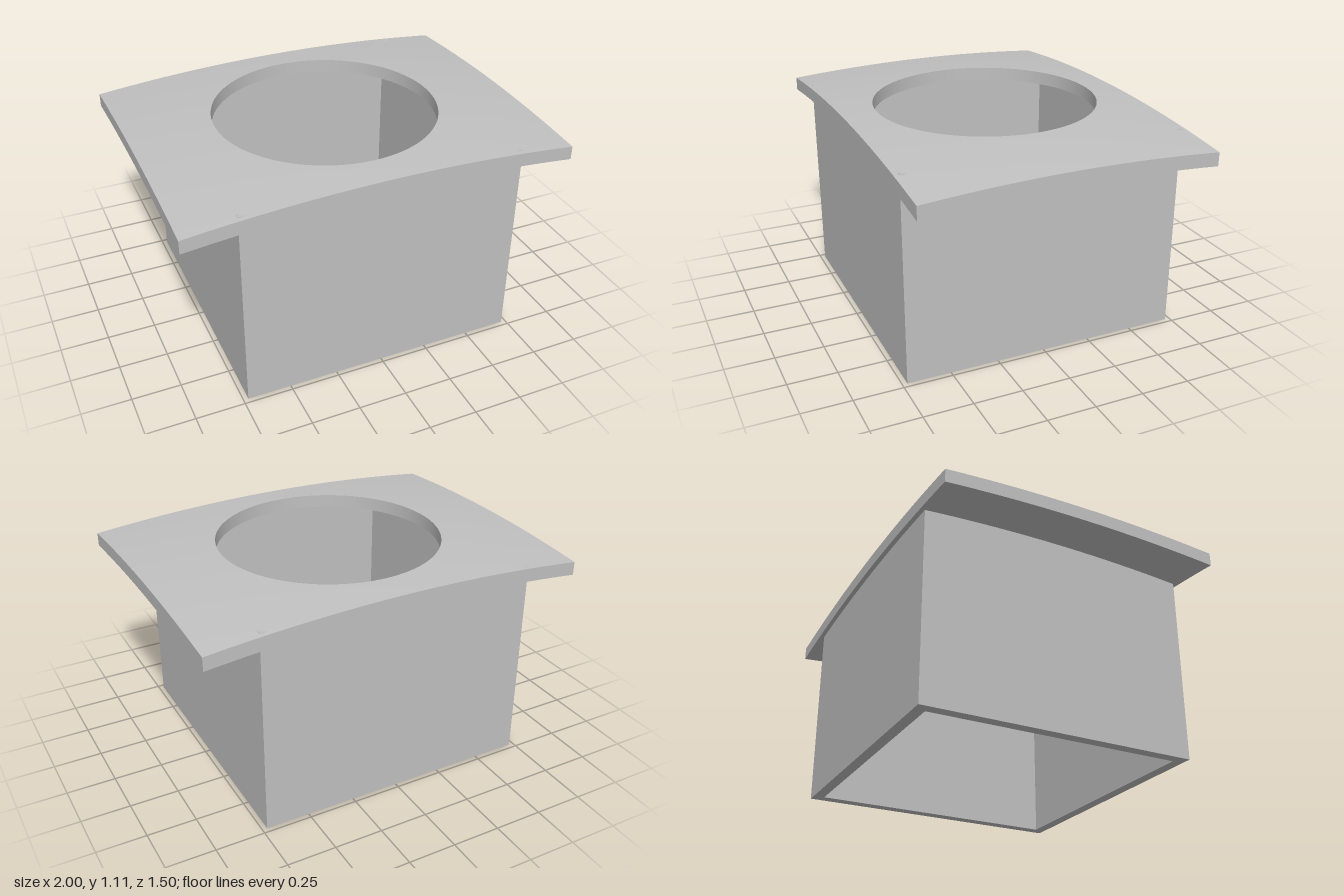
import * as THREE from 'three';
import { ParametricGeometry } from 'three/addons/geometries/ParametricGeometry.js';

const HALF_X = 1, HALF_Z = 0.75, HOLE_R = 0.58, THICK = 0.07;
const BOX_HALF = 0.725, WALL = 0.057, BOX_HEIGHT = 1.07;
const SEGMENTS = 192; // multiple of 4, so the plate corners are exact

// Height of the domed upper surface
const domeY = (x, z) => 1.125 - 0.055 * (x * x + z * z);

// Point on the rectangular outline, u running 0..1 around it
const CORNERS = [[-HALF_X, HALF_Z], [HALF_X, HALF_Z], [HALF_X, -HALF_Z], [-HALF_X, -HALF_Z]];
function outline(u) {
  const side = Math.min(3, Math.floor(u * 4)), f = u * 4 - side;
  const a = CORNERS[side], b = CORNERS[(side + 1) % 4];
  return [a[0] + (b[0] - a[0]) * f, a[1] + (b[1] - a[1]) * f];
}

// Sheet swept around the plate between two section points:
// [0 = hole rim .. 1 = outer edge, depth below the dome]
function sheet(from, to, stacks) {
  return new ParametricGeometry((u, v, target) => {
    const [ox, oz] = outline(u);
    const k = HOLE_R / Math.hypot(ox, oz);
    const t = from[0] + (to[0] - from[0]) * v;
    const depth = from[1] + (to[1] - from[1]) * v;
    const x = ox * (k + (1 - k) * t), z = oz * (k + (1 - k) * t);
    target.set(x, domeY(x, z) - depth, z);
  }, SEGMENTS, stacks);
}

function square(half, PathType) {
  const p = new PathType();
  p.moveTo(-half, -half).lineTo(half, -half).lineTo(half, half).lineTo(-half, half).closePath();
  return p;
}

export function createModel() {
  const group = new THREE.Group();
  const grey = new THREE.MeshStandardMaterial({ color: 0xc0c0c0 });
  grey.name = 'plain grey';

  const add = (name, geometry, parent) => {
    const mesh = new THREE.Mesh(geometry, grey);
    mesh.name = name;
    parent.add(mesh);
  };

  // Domed cover plate with a round opening
  const plate = new THREE.Group();
  plate.name = 'coverPlate';
  group.add(plate);
  const edge = sheet([1, THICK], [1, 0], 1).toNonIndexed();
  edge.computeVertexNormals(); // keeps the four corners sharp
  add('plateEdge', edge, plate);
  add('plateTop', sheet([1, 0], [0, 0], 12), plate);
  add('openingWall', sheet([0, 0], [0, THICK], 1), plate);
  add('plateUnderside', sheet([0, THICK], [1, THICK], 12), plate);

  // Open square duct; its flat top corners just break through the dome
  const section = square(BOX_HALF, THREE.Shape);
  section.holes.push(square(BOX_HALF - WALL, THREE.Path));
  const duct = new THREE.ExtrudeGeometry(section, { depth: BOX_HEIGHT, bevelEnabled: false });
  duct.rotateX(-Math.PI / 2);
  add('squareDuct', duct, group);

  return group;
}
